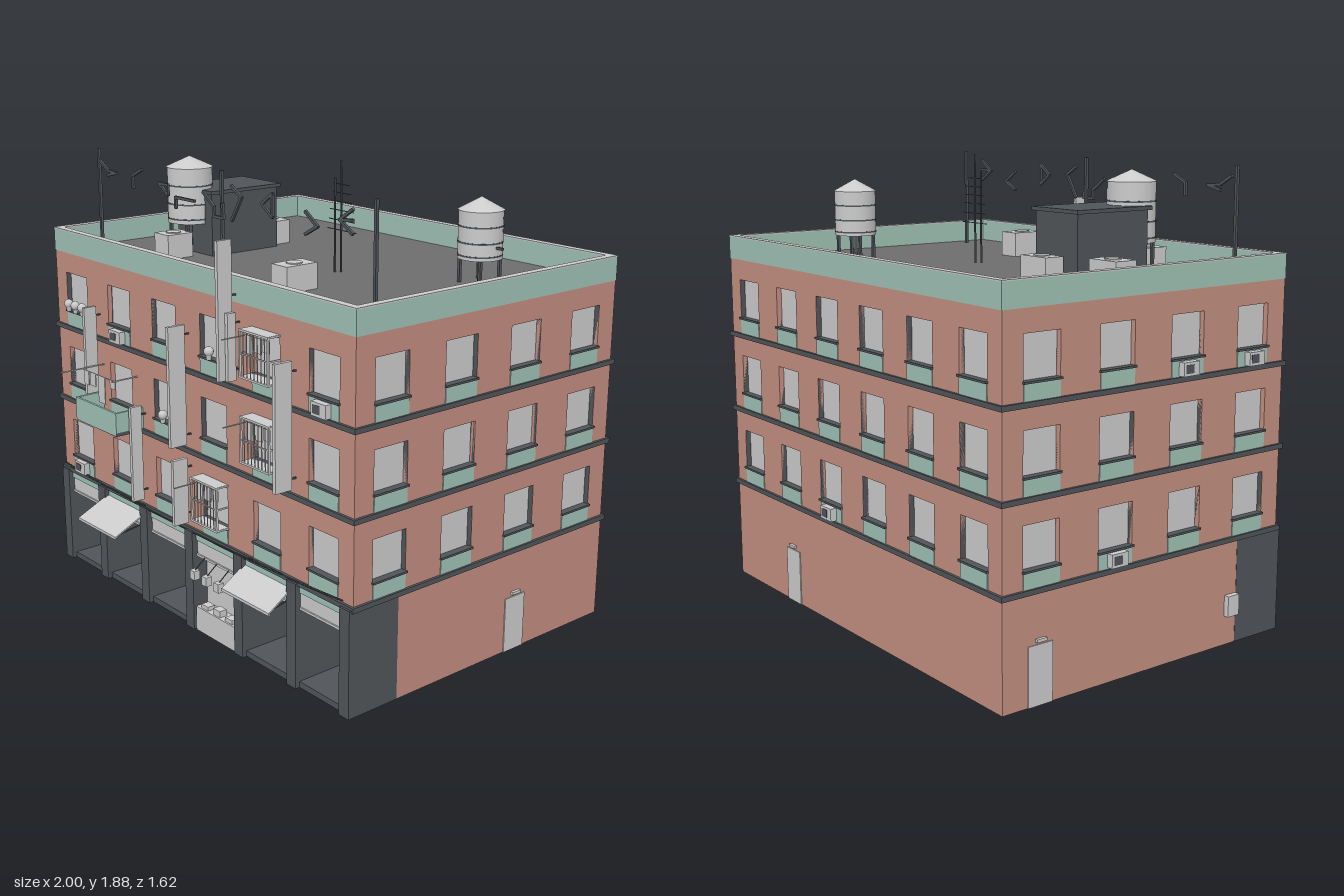
import * as THREE from 'three';

const mat = (color, side = THREE.FrontSide) => new THREE.MeshStandardMaterial({ color, side });
const GREY = mat(0xcccccc), BRICK = mat(0xc38e80), GREEN = mat(0x9fc2b5), DARK = mat(0x505559), ROOF = mat(0x6d6d6d);

// Building footprint and storey heights
const X0 = -0.97, X1 = 0.985, Z0 = -0.775, Z1 = 0.597, CX = (X0 + X1) / 2, CZ = (Z0 + Z1) / 2;
const BAY = (X1 - X0) / 6, LEDGES = [0.43, 0.765, 1.098], WALL_TOP = 1.43, TOP = 1.53;
const WIN_W = 0.162, WIN_H = 0.165, SILL = 0.08;

function add(parent, name, geo, material, x = 0, y = 0, z = 0) {
  const m = new THREE.Mesh(geo, material);
  m.name = name;
  m.position.set(x, y, z);
  parent.add(m);
  return m;
}
// Box given by its two extreme corners
function box(parent, name, material, x0, x1, y0, y1, z0, z1) {
  return add(parent, name, new THREE.BoxGeometry(x1 - x0, y1 - y0, z1 - z0), material,
    (x0 + x1) / 2, (y0 + y1) / 2, (z0 + z1) / 2);
}
function group(parent, name) {
  const g = new THREE.Group();
  g.name = name;
  parent.add(g);
  return g;
}
function rect(x0, x1, y0, y1, Type = THREE.Shape) {
  return new Type([[x0, y0], [x1, y0], [x1, y1], [x0, y1]].map(p => new THREE.Vector2(...p)));
}
// Thin square bar between two points
function bar(parent, name, material, a, b, t = 0.006) {
  const p = new THREE.Vector3(...a), q = new THREE.Vector3(...b);
  const m = add(parent, name, new THREE.BoxGeometry(t, t, p.distanceTo(q) + t * 0.7), material);
  m.position.copy(p).add(q).multiplyScalar(0.5);
  m.lookAt(q);
  return m;
}

// One wall, outer face on local z = 0, with recessed windows
function facade(parent, name, width, bottom, n) {
  const g = group(parent, name), shape = rect(-width / 2, width / 2, bottom, WALL_TOP);
  const ring = rect(-WIN_W / 2 - 0.003, WIN_W / 2 + 0.003, -0.003, WIN_H + 0.003);
  ring.holes.push(rect(-WIN_W / 2, WIN_W / 2, 0, WIN_H, THREE.Path));
  const ringGeo = new THREE.ExtrudeGeometry(ring, { depth: 0.03, bevelEnabled: false });
  for (const ledge of LEDGES) for (let i = 0; i < n; i++) {
    const x = (i - (n - 1) / 2) * width / n, y = ledge + SILL, h = WIN_W / 2;
    shape.holes.push(rect(x - h, x + h, y, y + WIN_H, THREE.Path));
    add(g, 'windowReveal', ringGeo, DARK, x, y, -0.0305);
    box(g, 'windowPane', GREY, x - h, x + h, y, y + WIN_H, -0.028, -0.022);
    box(g, 'windowPanel', GREEN, x - h, x + h, ledge, y - 0.006, -0.033, 0.003);
    box(g, 'windowSill', DARK, x - h - 0.004, x + h + 0.004, y - 0.007, y + 0.001, -0.02, 0.01);
  }
  add(g, 'brickWall', new THREE.ExtrudeGeometry(shape, { depth: 0.03, bevelEnabled: false }), BRICK, 0, 0, -0.03);
  return g;
}
function door(g, x) {
  box(g, 'door', GREY, x - 0.055, x + 0.055, 0, 0.23, -0.005, 0.004);
  box(g, 'doorLamp', GREY, x - 0.022, x + 0.022, 0.24, 0.252, 0, 0.012);
}
function windowUnit(g, x, y) {
  box(g, 'windowCooler', GREY, x - 0.04, x + 0.04, y, y + 0.053, -0.02, 0.03);
  box(g, 'coolerGrille', DARK, x - 0.03, x + 0.01, y + 0.01, y + 0.043, 0.029, 0.031);
}

function waterTank(parent, x, z, r, y0, y1, apex) {
  const g = group(parent, 'waterTank');
  g.position.set(x, 0, z);
  add(g, 'tankBody', new THREE.CylinderGeometry(r, r, y1 - y0, 28), GREY, 0, (y0 + y1) / 2, 0);
  add(g, 'tankRoof', new THREE.ConeGeometry(r * 1.04, apex - y1, 28), GREY, 0, (y1 + apex) / 2, 0);
  for (const t of [0.08, 0.35, 0.68]) {
    add(g, 'tankBand', new THREE.CylinderGeometry(r * 1.02, r * 1.02, 0.006, 28), DARK, 0, y0 + t * (y1 - y0), 0);
  }
  for (const sx of [-1, 1]) for (const sz of [-1, 1]) {
    const k = r * 0.62;
    box(g, 'tankLeg', DARK, sx * k - 0.006, sx * k + 0.006, WALL_TOP, y0 + 0.01, sz * k - 0.006, sz * k + 0.006);
  }
  add(g, 'tankPipe', new THREE.CylinderGeometry(0.007, 0.007, y0 - WALL_TOP, 8), DARK, 0, (y0 + WALL_TOP) / 2, 0);
}

function buildShops(root) {
  const g = group(root, 'shopFronts'), back = Z1 - 0.22;
  for (let i = 0; i <= 6; i++) {
    const x = Math.min(Math.max(X0 + i * BAY, X0 + 0.026), X1 - 0.026);
    box(g, 'pier', DARK, x - 0.027, x + 0.027, 0, 0.43, back, Z1 + 0.02);
  }
  box(g, 'shopFloor', DARK, X0, X1, 0, 0.025, back, Z1);
  box(g, 'shopCeiling', DARK, X0, X1, 0.42, 0.43, back, Z1 - 0.001);
  for (let i = 0; i < 6; i++) {
    const c = X0 + (i + 0.5) * BAY, a = c - 0.137, b = c + 0.137, counter = i === 3;
    const z = counter ? Z1 - 0.06 : back;
    box(g, 'shopBack', GREY, a, b, 0.02, 0.42, z, z + 0.01);
    box(g, 'fascia', GREEN, a, b, 0.39, 0.425, Z1 - 0.03, Z1);
    box(g, 'transom', GREY, a, b, 0.33, 0.39, Z1 - 0.03, Z1 - 0.006);
    box(g, 'transomRail', GREY, a, b, 0.322, 0.332, Z1 - 0.035, Z1);
    if (counter) {
      box(g, 'counter', GREY, c - 0.13, c + 0.13, 0, 0.105, Z1 - 0.06, Z1 + 0.012);
      [-0.08, 0, 0.08].forEach((d, k) => {
        box(g, 'goods', GREY, c + d - 0.022, c + d + 0.022, 0.105, 0.122 + 0.01 * (k % 2), Z1 - 0.03, Z1 + 0.005);
        box(g, 'lantern', GREY, c + d - 0.015, c + d + 0.015, 0.255, 0.293, Z1 + 0.036, Z1 + 0.064);
        bar(g, 'lanternCord', DARK, [c + d, 0.29, Z1 + 0.05], [c + d, 0.33, Z1], 0.003);
      });
    }
    // Sloping awnings on struts
    if (i === 1 || i === 4) {
      const reach = i === 1 ? 0.15 : 0.11;
      const s = add(g, 'awning', new THREE.BoxGeometry(0.29, 0.006, Math.hypot(reach, 0.07)), GREY, c, 0.355, Z1 + reach / 2);
      s.rotation.x = Math.atan2(0.07, reach);
      for (const x of [a + 0.01, b - 0.01]) bar(g, 'awningStrut', DARK, [x, 0.32, Z1 + reach - 0.01], [x, 0.34, Z1], 0.005);
      box(g, 'awningLip', GREY, c - 0.146, c + 0.146, 0.312, 0.324, Z1 + reach - 0.004, Z1 + reach + 0.002);
    }
  }
  // Sagging cables above the piers
  for (const [x0, y0, x1, y1] of [[-0.95, 0.458, 0.0, 0.428], [0.0, 0.428, 0.95, 0.458], [-0.9, 0.452, -0.3, 0.442], [0.4, 0.442, 0.93, 0.455]]) {
    const curve = new THREE.QuadraticBezierCurve3(new THREE.Vector3(x0, y0, Z1 + 0.015),
      new THREE.Vector3((x0 + x1) / 2, (y0 + y1) / 2 - 0.012, Z1 + 0.02), new THREE.Vector3(x1, y1, Z1 + 0.015));
    add(g, 'cable', new THREE.TubeGeometry(curve, 12, 0.003, 5), DARK);
  }
}

function buildFrontDetails(root) {
  const g = group(root, 'frontDetails');
  // Blade signs: x, bottom, top, reach
  for (const [x, y0, y1, z] of [[-0.627, 0.87, 1.245, 0.68], [-0.305, 0.475, 0.885, 0.675], [0.015, 0.8, 1.29, 0.7],
    [0.015, 0.47, 0.745, 0.692], [0.323, 1.14, 1.67, 0.687], [0.343, 1.14, 1.4, 0.66], [0.668, 0.8, 1.285, 0.7]]) {
    box(g, 'bladeSign', GREY, x - 0.008, x + 0.008, y0, y1, 0.622, z);
    for (const y of [y0 + 0.04, Math.min(y1, 1.5) - 0.04]) bar(g, 'signBracket', DARK, [x, y, Z1 - 0.01], [x, y, 0.63]);
  }
  // Window cages with hanging cloths
  for (const [c, y] of [[0.497, 1.175], [0.497, 0.842], [0.171, 0.51]]) {
    const a = c - 0.083, b = c + 0.083, zf = 0.653, h = 0.178;
    for (let k = 0; k <= 8; k++) {
      const x = a + (b - a) * k / 8;
      bar(g, 'cageBar', GREY, [x, y, zf], [x, y + h, zf], k % 8 ? 0.003 : 0.008);
    }
    for (const yy of [y, y + h * 0.5, y + h]) {
      bar(g, 'cageRail', GREY, [a, yy, zf], [b, yy, zf], yy === y + h * 0.5 ? 0.004 : 0.008);
      for (const x of [a, b]) bar(g, 'cageSide', GREY, [x, yy, Z1], [x, yy, zf]);
    }
    box(g, 'cageFloor', GREY, a, b, y - 0.004, y + 0.004, Z1, zf);
    box(g, 'cageTop', GREY, a, b, y + h - 0.004, y + h + 0.004, Z1, zf);
    [-0.05, 0.005, 0.05].forEach((d, k) => box(g, 'cloth', GREY, c + d - 0.02, c + d + 0.02, y + 0.09 + 0.012 * k, y + 0.16, 0.634, 0.638));
    bar(g, 'laundryPole', GREY, [c - 0.076, y + 0.155, Z1], [c - 0.076, y + 0.155, 0.74], 0.004);
  }
  // Balcony with a washing line
  const a = -0.634, b = -0.324, z = 0.73;
  box(g, 'balconyFloor', DARK, a, b, 0.765, 0.78, Z1, z);
  box(g, 'balconyFront', GREEN, a, b, 0.765, 0.865, z - 0.01, z);
  for (const x of [a, b - 0.01]) box(g, 'balconySide', GREEN, x, x + 0.01, 0.765, 0.865, Z1, z - 0.01);
  for (const x of [-0.61, -0.36]) bar(g, 'linePole', GREY, [x, 0.99, Z1], [x, 0.99, x < -0.5 ? 0.81 : 0.72], 0.005);
  bar(g, 'washingLine', GREY, [-0.61, 0.985, 0.7], [-0.36, 0.985, 0.7], 0.004);
  for (const [x, w, y] of [[-0.585, 0.035, 0.925], [-0.535, 0.04, 0.93], [-0.47, 0.05, 0.87], [-0.385, 0.04, 0.95]]) {
    box(g, 'laundry', GREY, x - w / 2, x + w / 2, y, 0.985, 0.698, 0.702);
  }
  // Plants in pots on the sills
  for (const [x, y] of [[-0.853, 1.178], [-0.8, 1.178], [-0.745, 1.178], [0.168, 1.178], [-0.155, 0.845]]) {
    add(g, 'pot', new THREE.CylinderGeometry(0.013, 0.009, 0.022, 10), GREY, x, y + 0.011, 0.614);
    add(g, 'plant', new THREE.SphereGeometry(0.02, 12, 8), GREY, x, y + 0.034, 0.614);
  }
}

function buildRoof(root) {
  const g = group(root, 'roof');
  box(g, 'roofDeck', ROOF, X0 + 0.01, X1 - 0.01, 1.415, 1.432, Z0 + 0.01, Z1 - 0.01);
  const ring = (name, m, grow, t, y0, y1) => {
    const s = rect(X0 - grow, X1 + grow, -Z1 - grow, -Z0 + grow);
    s.holes.push(rect(X0 + t, X1 - t, -Z1 + t, -Z0 - t, THREE.Path));
    add(g, name, new THREE.ExtrudeGeometry(s, { depth: y1 - y0, bevelEnabled: false }), m, 0, y0, 0).rotation.x = -Math.PI / 2;
  };
  ring('parapet', GREEN, 0.002, 0.028, WALL_TOP, TOP - 0.005);
  ring('parapetCap', GREY, 0.003, 0.03, TOP - 0.005, TOP);
  for (const y of LEDGES) ring('ledge', DARK, 0.011, 0.01, y - 0.009, y + 0.011);
  // Stair house
  box(g, 'stairHouse', DARK, -0.65, -0.403, 1.43, 1.695, -0.182, 0.168);
  box(g, 'stairHouseRoof', DARK, -0.663, -0.39, 1.695, 1.71, -0.194, 0.18);
  waterTank(g, -0.548, 0.175, 0.096, 1.565, 1.8, 1.845);
  waterTank(g, 0.67, -0.33, 0.088, 1.53, 1.72, 1.77);
  bar(g, 'tankOutlet', DARK, [0.75, 1.58, -0.33], [0.785, 1.58, -0.33], 0.01);
  // Roof cooling units
  for (const [x0, x1, z0, z1] of [[-0.84, -0.69, -0.16, -0.06], [-0.585, -0.435, -0.28, -0.195], [-0.56, -0.46, 0.23, 0.355], [0.255, 0.35, 0.227, 0.377]]) {
    box(g, 'coolingUnit', GREY, x0, x1, 1.43, 1.535, z0, z1);
    add(g, 'coolingFan', new THREE.CylinderGeometry(0.032, 0.032, 0.005, 16), GREY, (x0 + x1) / 2, 1.537, (z0 + z1) / 2);
  }
  // Aerial
  bar(g, 'aerialMast', DARK, [0.178, 1.43, -0.045], [0.178, 1.88, -0.045]);
  bar(g, 'aerialMast', DARK, [0.163, 1.43, -0.025], [0.163, 1.81, -0.025]);
  [1.6, 1.64, 1.68, 1.715, 1.75, 1.785].forEach((y, k) => bar(g, 'aerialArm', DARK, [0.178 - 0.085 + k * 0.008, y, -0.048], [0.178 + 0.085 - k * 0.008, y, -0.048], 0.003));
  // Abstract bent-tube ornaments between three poles
  for (const x of [-0.87, 0.008, 0.885]) box(g, 'roofPole', DARK, x - 0.006, x + 0.006, 1.43, 1.865, 0.414, 0.426);
  const strokes = [[-0.81, 1.82, -0.75, 1.785, -0.685, 1.78, -0.75, 1.765], [-0.56, 1.735, -0.56, 1.785, -0.495, 1.815],
    [-0.37, 1.775, -0.31, 1.775, -0.31, 1.735, -0.37, 1.775], [-0.255, 1.69, -0.255, 1.732, -0.13, 1.732],
    [-0.068, 1.775, 0, 1.727, 0, 1.69, 0.06, 1.69, 0.055, 1.745], [0.115, 1.69, 0.175, 1.785, 0.115, 1.82],
    [0.36, 1.82, 0.3, 1.777, 0.36, 1.735, 0.36, 1.82], [0.55, 1.78, 0.615, 1.735, 0.55, 1.7],
    [0.8, 1.82, 0.735, 1.777, 0.8, 1.735], [0.735, 1.777, 0.8, 1.782]];
  for (const s of strokes) for (let i = 0; i + 3 < s.length; i += 2) {
    bar(g, 'bentTube', DARK, [s[i], s[i + 1], 0.453], [s[i + 2], s[i + 3], 0.453], 0.011);
  }
}

export function createModel() {
  const root = new THREE.Group();
  root.name = 'apartmentBlock';
  const W = X1 - X0, D = Z1 - Z0;
  const front = facade(root, 'frontFacade', W, 0.43, 6);
  const rear = facade(root, 'backFacade', W, 0, 6);
  const sideA = facade(root, 'leftFacade', D, 0, 4);
  const sideB = facade(root, 'rightFacade', D, 0, 4);
  front.position.set(CX, 0, Z1);
  rear.position.set(CX, 0, Z0);
  rear.rotation.y = Math.PI;
  sideA.position.set(X1, 0, CZ);
  sideA.rotation.y = Math.PI / 2;
  sideB.position.set(X0, 0, CZ);
  sideB.rotation.y = -Math.PI / 2;
  door(rear, -0.488);
  door(sideA, 0.171);
  door(sideB, -0.518);
  for (const [x, y] of [[-0.485, 1.113], [0.815, 1.113], [-0.812, 0.448]]) windowUnit(front, x, y);
  windowUnit(rear, -0.16, 0.446);
  for (const [x, y] of [[0.514, 1.113], [0.167, 1.113], [-0.171, 0.448]]) windowUnit(sideB, x, y);
  box(sideB, 'meterBox', GREY, 0.405, 0.465, 0.12, 0.205, 0, 0.022);
  buildShops(root);
  buildFrontDetails(root);
  buildRoof(root);
  return root;
}
